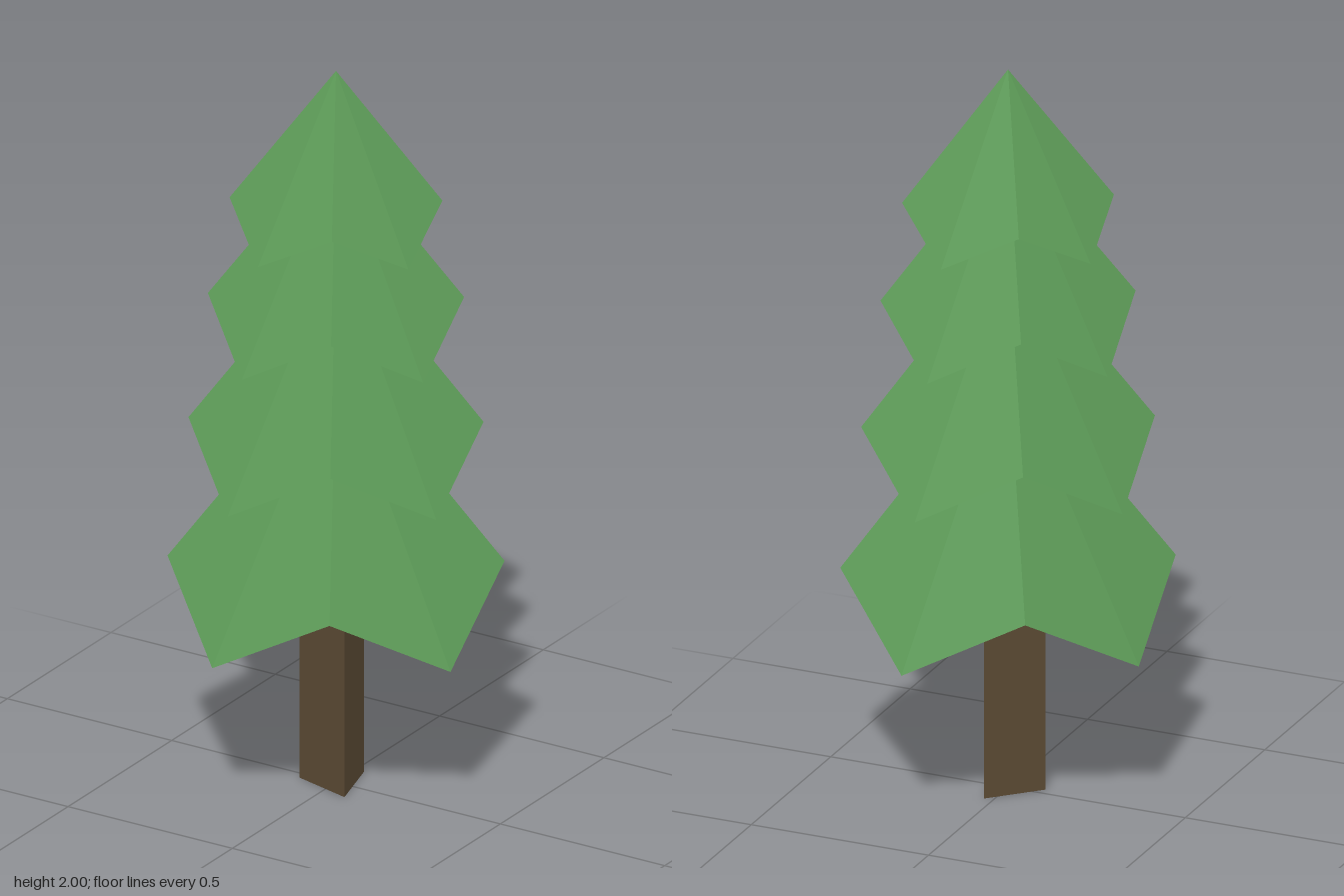
import * as THREE from 'three';

// One tier of foliage: an eight-point skirt, alternately low and high, under an apex
function tierGeometry({ apex, radius, high, low }) {
  const rim = [];
  for (let i = 0; i < 8; i++) {
    const a = THREE.MathUtils.degToRad(15 + 45 * i);
    rim.push([radius * Math.cos(a), i % 2 ? high : low, radius * Math.sin(a)]);
  }
  const top = [0, apex, 0];
  const hollow = [0, high, 0];
  const positions = [];
  rim.forEach((p, i) => {
    const q = rim[(i + 1) % 8];
    positions.push(...top, ...q, ...p);    // outer slope
    positions.push(...hollow, ...p, ...q); // underside
  });
  const geometry = new THREE.BufferGeometry();
  geometry.setAttribute('position', new THREE.Float32BufferAttribute(positions, 3));
  geometry.computeVertexNormals();
  return geometry;
}

export function createModel() {
  const model = new THREE.Group();
  model.name = 'pineTree';

  const foliage = new THREE.MeshStandardMaterial({ color: 0x5c9a57, flatShading: true });
  foliage.name = 'foliageGreen';
  const bark = new THREE.MeshStandardMaterial({ color: 0x5a4933, flatShading: true });
  bark.name = 'barkBrown';

  // Three-sided trunk
  const trunkHeight = 0.64;
  const trunk = new THREE.Mesh(
    new THREE.CylinderGeometry(0.098, 0.098, trunkHeight, 3, 1, false, Math.PI / 4), bark);
  trunk.position.y = trunkHeight / 2;
  trunk.name = 'trunk';
  model.add(trunk);

  // Foliage tiers from bottom to top
  const tiers = [
    { apex: 1.2, radius: 0.434, high: 0.63, low: 0.45 },
    { apex: 1.52, radius: 0.38, high: 1.02, low: 0.86 },
    { apex: 1.8, radius: 0.33, high: 1.37, low: 1.23 },
    { apex: 2.0, radius: 0.274, high: 1.64, low: 1.53 },
  ];
  tiers.forEach((tier, i) => {
    const mesh = new THREE.Mesh(tierGeometry(tier), foliage);
    mesh.name = `foliageTier${i + 1}`;
    model.add(mesh);
  });

  return model;
}
